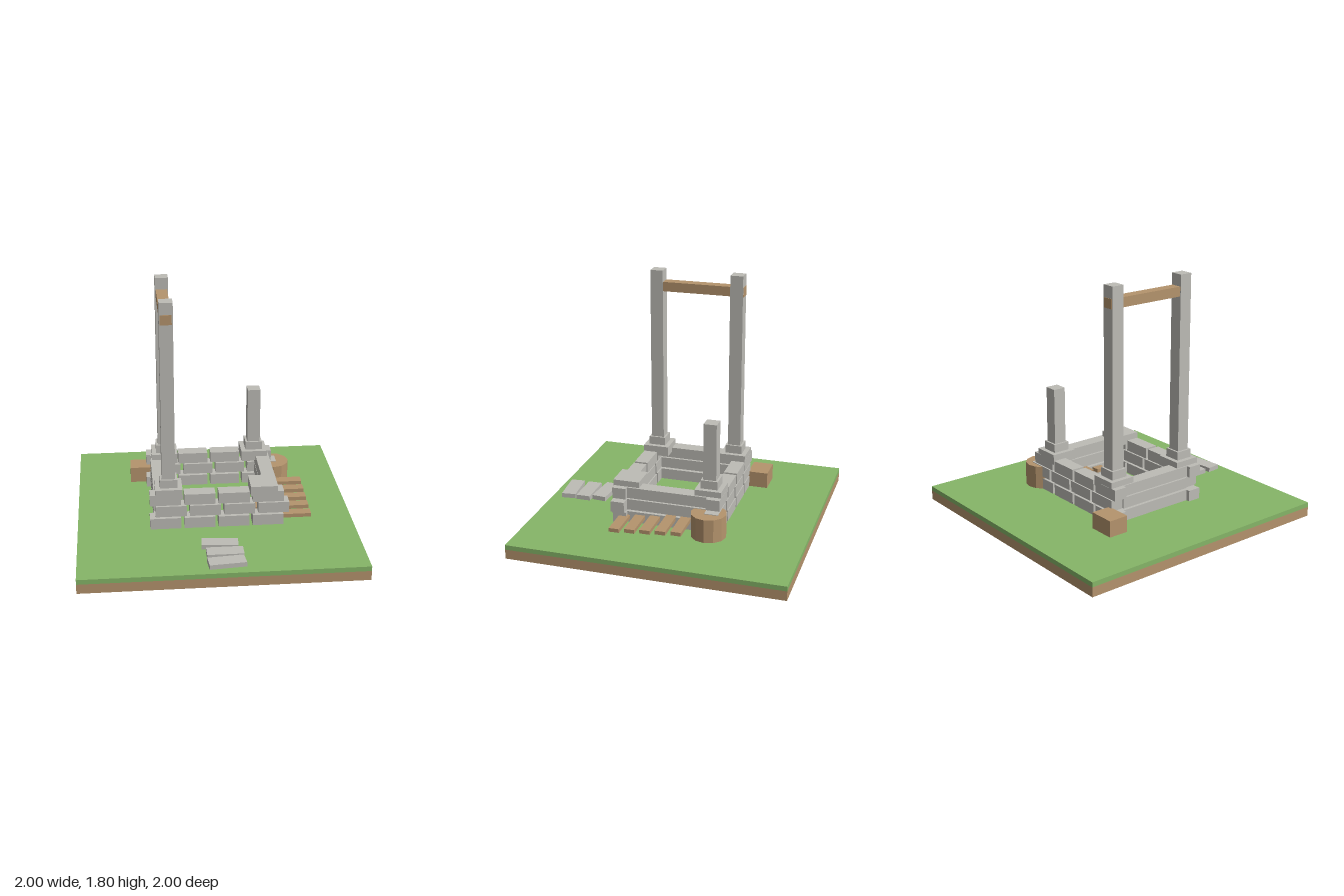
import * as THREE from 'three';

export function createModel() {
  const model = new THREE.Group();
  const mat = (name, color) => {
    const m = new THREE.MeshStandardMaterial({ color });
    m.name = name;
    return m;
  };
  const stone = mat('stone', 0xbdbcb6);
  const wood = mat('wood', 0xb5946d);
  const grass = mat('grass', 0x86b668);

  // Box given by its min and max on each axis
  const box = (name, material, [x0, x1], [y0, y1], [z0, z1], parent = model) => {
    const mesh = new THREE.Mesh(new THREE.BoxGeometry(x1 - x0, y1 - y0, z1 - z0), material);
    mesh.position.set((x0 + x1) / 2, (y0 + y1) / 2, (z0 + z1) / 2);
    mesh.name = name;
    parent.add(mesh);
    return mesh;
  };
  const around = (c, size) => [c - size / 2, c + size / 2];

  // Ground slab
  box('soil', wood, [-1, 1], [0, 0.07], [-1, 1]);
  box('lawn', grass, [-1, 1], [0.07, 0.105], [-1, 1]);

  // Brick walls: three staggered courses in front and back, long slabs at the sides
  const walls = new THREE.Group();
  walls.name = 'walls';
  model.add(walls);
  const courses = [
    { y: [0.13, 0.212], x: -0.48 },
    { y: [0.226, 0.307], x: -0.44 },
    { y: [0.316, 0.397], x: -0.48 },
  ];
  for (const { y, x } of courses) {
    for (const z of [[0.292, 0.392], [-0.4, -0.3]]) {
      for (let i = 0; i < 4; i++) {
        const x0 = x + i * 0.246;
        box('brick', stone, [x0, x0 + 0.222], y, z, walls);
      }
    }
    for (const sx of [-0.4, 0.4]) box('sideSlab', stone, around(sx, 0.1), y, [-0.3, 0.292], walls);
  }

  // Corner caps with plinths and posts; one corner has lost its post
  const corners = [
    [-0.343, 0.302, 1.805],
    [-0.343, -0.302, 1.805],
    [0.338, -0.302, 0.92],
    [0.338, 0.302, 0],
  ];
  for (const [x, z, top] of corners) {
    const corner = new THREE.Group();
    corner.name = 'corner';
    model.add(corner);
    box('cap', stone, around(x, 0.194), [0.365, 0.44], around(z, 0.194), corner);
    if (!top) continue;
    box('plinth', stone, around(x, 0.125), [0.44, 0.502], around(z, 0.125), corner);
    box('post', stone, around(x, 0.095), [0.5, top], around(z, 0.095), corner);
  }

  // Crossbeam, its ends just showing through the posts
  box('crossbeam', wood, [-0.385, -0.304], [1.65, 1.72], [-0.353, 0.353]);

  // Planks stepping up towards the back, passing through the side wall
  for (let i = 0; i < 5; i++) {
    box('plank', wood, [0.29, 0.69], around(0.17 + i * 0.0095, 0.028), around(0.308 - i * 0.1135, 0.075));
  }

  // Tree stump and crate
  const stump = new THREE.Mesh(new THREE.CylinderGeometry(0.128, 0.128, 0.173, 12).toNonIndexed(), wood);
  stump.geometry.computeVertexNormals();
  stump.position.set(0.488, 0.2165, -0.326);
  stump.name = 'stump';
  model.add(stump);
  box('crate', wood, [-0.6, -0.405], [0.13, 0.25], [-0.54, -0.39]);

  // Stepping stones
  for (const [x, z, turn] of [[-0.003, 0.625, -0.09], [0.022, 0.753, 0], [0.022, 0.882, 0.09]]) {
    box('steppingStone', stone, around(x, 0.258), [0.105, 0.139], around(z, 0.106)).rotation.y = turn;
  }

  return model;
}
